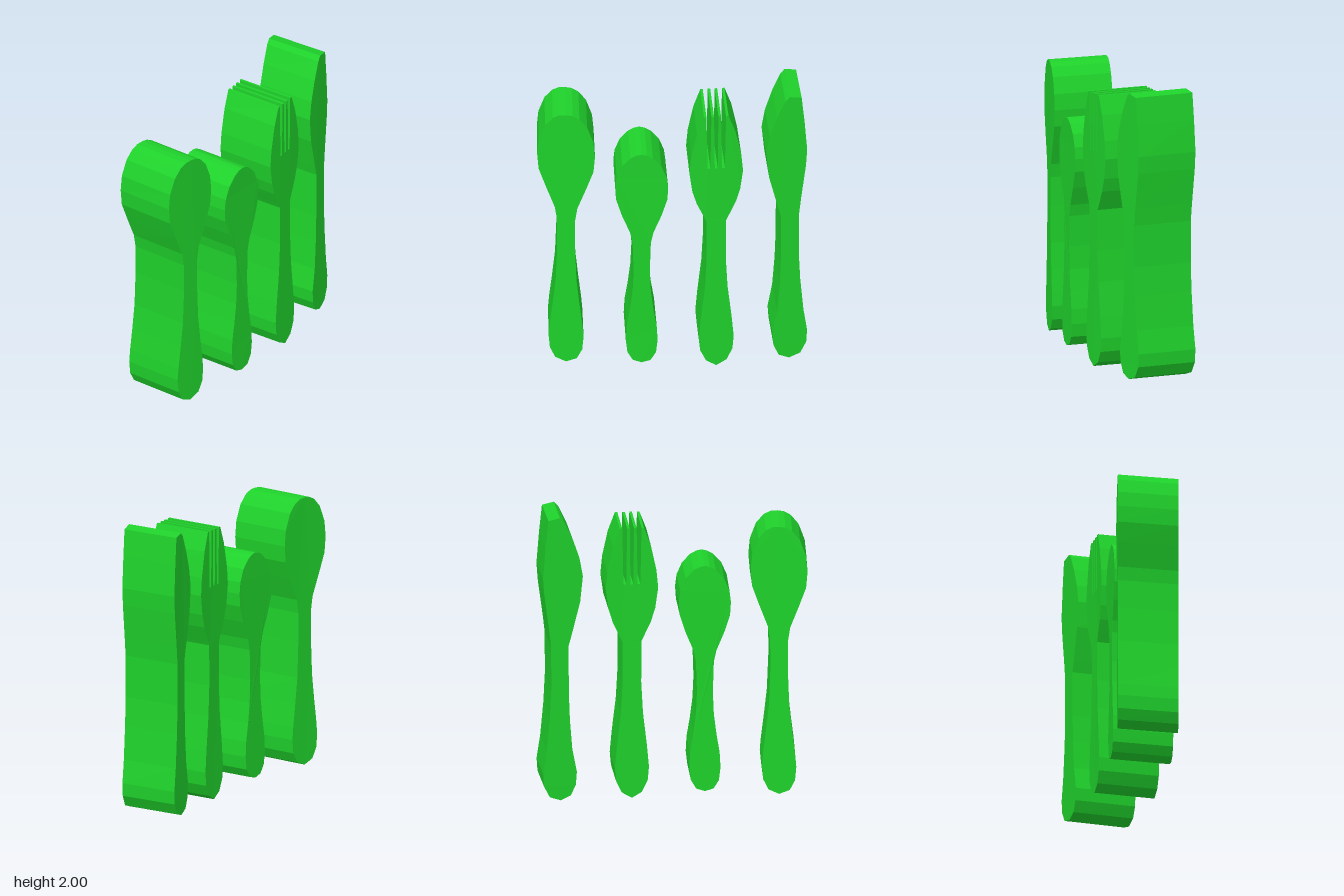
import * as THREE from 'three';

const DEPTH = 0.417;
const green = new THREE.MeshStandardMaterial({ color: 0x1fd12b, flatShading: true });

// Extrude an outline, then bend it onto the shallow arc the set stands on
function bentSlab(name, outline) {
  const shape = new THREE.Shape(outline.map(([x, y]) => new THREE.Vector2(x, y)));
  const geo = new THREE.ExtrudeGeometry(shape, { depth: DEPTH, bevelEnabled: false });
  const p = geo.attributes.position;
  for (let i = 0; i < p.count; i++) {
    const x = p.getX(i), back = 1 - p.getZ(i) / DEPTH;
    p.setX(i, x * (1 - 0.02 * back));
    p.setZ(i, p.getZ(i) - 0.155 - 0.128 * x * x);
  }
  geo.computeVertexNormals();
  const mesh = new THREE.Mesh(geo, green);
  mesh.name = name;
  return mesh;
}

// Mirror a half profile [halfWidth, y] (bottom to top) around x = cx;
// "crown" holds extra points running from the right side to the left at the top
function mirrored(cx, half, crown = []) {
  const right = half.map(([w, y]) => [cx + w, y]);
  const left = half.filter(([w]) => w > 0).map(([w, y]) => [cx - w, y]).reverse();
  return [...right, ...crown.map(([w, y]) => [cx + w, y]), ...left];
}

export function createModel() {
  const group = new THREE.Group();
  group.name = 'cutlerySet';

  // Large spoon
  group.add(bentSlab('largeSpoon', mirrored(-0.725, [
    [0, 0.025], [0.073, 0.055], [0.109, 0.125], [0.118, 0.22], [0.11, 0.31], [0.09, 0.47],
    [0.07, 0.65], [0.06, 0.9], [0.061, 1.105], [0.076, 1.2], [0.137, 1.355], [0.185, 1.485],
    [0.195, 1.6], [0.184, 1.71], [0.142, 1.82], [0.09, 1.88], [0.045, 1.903], [0, 1.908],
  ])));

  // Small spoon
  group.add(bentSlab('smallSpoon', mirrored(-0.214, [
    [0, 0.037], [0.06, 0.055], [0.097, 0.115], [0.108, 0.205], [0.102, 0.31], [0.08, 0.44],
    [0.062, 0.58], [0.055, 0.735], [0.062, 0.95], [0.08, 1.03], [0.135, 1.16], [0.174, 1.28],
    [0.18, 1.37], [0.17, 1.45], [0.133, 1.535], [0.076, 1.595], [0.035, 1.617], [0, 1.624],
  ])));

  // Fork, with three tapered slots between four tines
  const slots = [
    [0.067, 0.059, 0.04, 0.033],
    [0.015, 0.01, -0.01, -0.015],
    [-0.033, -0.04, -0.059, -0.067],
  ].flatMap(([a, b, c, d]) => [[a, 1.9], [b, 1.505], [c, 1.505], [d, 1.9]]);
  group.add(bentSlab('fork', mirrored(0.293, [
    [0, 0], [0.07, 0.04], [0.11, 0.12], [0.119, 0.215], [0.105, 0.365], [0.077, 0.6],
    [0.065, 0.815], [0.066, 1.1], [0.08, 1.13], [0.133, 1.24], [0.163, 1.335], [0.183, 1.475],
    [0.171, 1.6], [0.132, 1.775], [0.084, 1.9],
  ], slots)));

  // Knife
  group.add(bentSlab('knife', [
    [0.79, 0.01], [0.868, 0.037], [0.909, 0.115], [0.915, 0.205], [0.89, 0.365], [0.868, 0.6],
    [0.858, 0.8], [0.859, 1.09], [0.873, 1.21], [0.907, 1.46], [0.916, 1.58], [0.898, 1.8],
    [0.878, 1.985], [0.797, 2], [0.767, 1.97], [0.71, 1.85], [0.66, 1.71], [0.636, 1.58],
    [0.655, 1.4], [0.715, 1.17], [0.736, 1.095], [0.735, 0.77], [0.727, 0.57], [0.71, 0.365],
    [0.678, 0.205], [0.685, 0.115], [0.72, 0.04],
  ]));

  return group;
}
